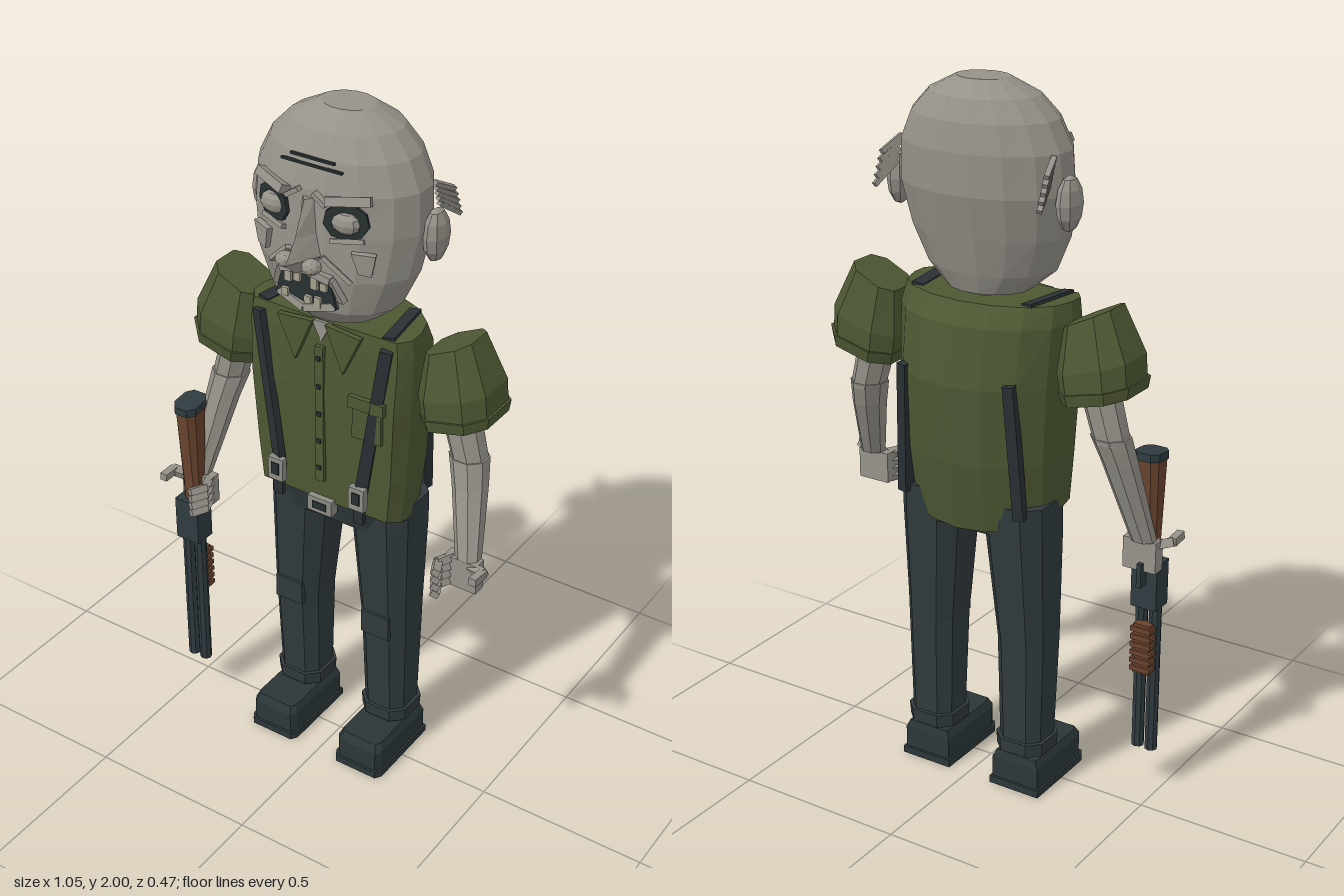
import * as THREE from 'three';

const mat = (name, color, extra = {}) => new THREE.MeshStandardMaterial({ name, color, flatShading: true, ...extra });

export function createModel() {
  const skin = mat('skin', 0x96928a), shirt = mat('shirt green', 0x4d5833), trouser = mat('trouser slate', 0x303a3c);
  const shoe = mat('shoe', 0x2b3638), strap = mat('strap', 0x2a3034), wood = mat('wood', 0x6a432e);
  const metal = mat('metal', 0x8d8c84), gunmetal = mat('gunmetal', 0x2f3b40), dark = mat('dark', 0x283031);
  const teeth = mat('teeth', 0xa59f8c);

  const root = new THREE.Group();
  root.name = 'standingMan';
  const body = new THREE.Group();
  body.name = 'body';
  body.position.x = -0.01;
  root.add(body);

  const add = (name, geo, material, x = 0, y = 0, z = 0, parent = body) => {
    const m = new THREE.Mesh(geo, material);
    m.name = name;
    m.position.set(x, y, z);
    parent.add(m);
    return m;
  };
  const box = (name, w, h, d, material, x, y, z) => add(name, new THREE.BoxGeometry(w, h, d), material, x, y, z);

  // Box running from point a to point b
  const beam = (name, a, b, w, d, material) => {
    const p = new THREE.Vector3(...a), q = new THREE.Vector3(...b);
    const dir = q.clone().sub(p), mid = p.add(q).multiplyScalar(0.5);
    const m = box(name, w, dir.length(), d, material, mid.x, mid.y, mid.z);
    m.quaternion.setFromUnitVectors(new THREE.Vector3(0, 1, 0), dir.normalize());
    return m;
  };

  // Capped loft; rings go bottom up: [y, rx, rz, cx, cz, tiltX, tiltZ]
  const loft = (name, outline, rings, material) => {
    const n = outline.length, pos = [], idx = [];
    for (const [y, rx, rz, cx = 0, cz = 0, tx = 0, tz = 0] of rings)
      for (const [u, v] of outline) pos.push(cx + u * rx, y + tx * u + tz * v, cz + v * rz);
    for (let r = 0; r < rings.length - 1; r++)
      for (let i = 0; i < n; i++) {
        const a = r * n + i, b = r * n + (i + 1) % n;
        idx.push(a, a + n, b, b, a + n, b + n);
      }
    const t = (rings.length - 1) * n;
    for (let i = 1; i < n - 1; i++) idx.push(0, i, i + 1, t, t + i + 1, t + i);
    const g = new THREE.BufferGeometry();
    g.setAttribute('position', new THREE.Float32BufferAttribute(pos, 3));
    g.setIndex(idx);
    const flat = g.toNonIndexed();
    flat.computeVertexNormals();
    return add(name, flat, material);
  };
  const circle = n => Array.from({ length: n }, (_, i) => {
    const a = (i + 0.5) / n * Math.PI * 2;
    return [Math.cos(a), Math.sin(a)];
  });
  const octagon = [[1, 0.55], [0.55, 1], [-0.55, 1], [-1, 0.55], [-1, -0.55], [-0.55, -1], [0.55, -1], [1, -0.55]];

  // Thin plate in the xy plane
  const plate = (name, pts, material, x, y, z, depth = 0.008) => add(name, new THREE.ExtrudeGeometry(
    new THREE.Shape(pts.map(p => new THREE.Vector2(...p))), { depth, bevelEnabled: false }), material, x, y, z);

  // Shirt: flat front, rounded back, hem lower behind
  const torso = [[1, 0.3], [0.9, 0.52], [0, 0.56], [-0.9, 0.52], [-1, 0.3]];
  for (let i = 0; i <= 8; i++) {
    const a = i / 8 * Math.PI;
    torso.push([-Math.cos(a), -Math.sin(a)]);
  }
  loft('shirt', torso, [
    [0.847, 0.225, 0.165, 0, -0.02, 0, 0.047], [1.0, 0.238, 0.19, 0, -0.03], [1.22, 0.25, 0.205, 0, -0.03],
    [1.38, 0.255, 0.18, 0, -0.025], [1.435, 0.248, 0.15, 0, -0.015]], shirt);
  loft('neck', circle(8), [[1.4, 0.075, 0.075, 0, -0.02], [1.5, 0.09, 0.085, 0, -0.02]], skin);
  plate('openNeck', [[-0.03, 0], [0, -0.06], [0.03, 0]], skin, 0, 1.435, 0.07);
  box('placket', 0.026, 0.42, 0.012, shirt, 0, 1.155, 0.083);
  for (let i = 0; i < 5; i++) box('button', 0.012, 0.012, 0.006, dark, 0, 1.33 - i * 0.085, 0.091);
  box('pocket', 0.09, 0.11, 0.014, shirt, 0.148, 1.18, 0.08);
  box('pocketFlap', 0.108, 0.035, 0.022, shirt, 0.148, 1.235, 0.082);

  for (const s of [-1, 1]) {
    plate('collar', s > 0 ? [[0.02, 0], [0.075, -0.13], [0.13, -0.01]] : [[-0.02, 0], [-0.13, -0.01], [-0.075, -0.13]],
      shirt, 0, 1.437, 0.075, 0.016);

    // Suspenders and clips
    beam('frontStrap', [s * 0.2, 1.41, 0.075], [s * 0.132, 0.95, 0.086], 0.034, 0.02, strap);
    beam('shoulderStrap', [s * 0.195, 1.436, 0.06], [s * 0.17, 1.436, -0.11], 0.034, 0.01, strap);
    beam('backStrap', [s * 0.165, 1.24, -0.182], [s * 0.185, 0.86, -0.158], 0.032, 0.03, strap);
    box('clip', 0.048, 0.07, 0.02, metal, s * 0.132, 0.945, 0.1);
    box('clipInset', 0.024, 0.036, 0.006, dark, s * 0.132, 0.948, 0.111);
    box('clipTab', 0.03, 0.06, 0.014, strap, s * 0.132, 0.89, 0.092);

    // Sleeve with cuff
    loft('sleeve', octagon, [[1.235, 0.098, 0.1, s * 0.365, -0.045, s * 0.025], [1.3, 0.1, 0.102, s * 0.357, -0.045, s * 0.03],
      [1.425, 0.066, 0.07, s * 0.333, -0.045, s * 0.032]], shirt);
    loft('sleeveCuff', octagon, [[1.212, 0.096, 0.1, s * 0.37, -0.045, s * 0.025],
      [1.245, 0.104, 0.106, s * 0.366, -0.045, s * 0.025]], shirt);

    // Arm: upper part, then forearm swinging forward
    const wx = s * 0.447, wy = s > 0 ? 0.85 : 0.79;
    loft('upperArm', circle(8), [[1.09, 0.05, 0.05, s * 0.392, -0.042], [1.24, 0.055, 0.055, s * 0.35, -0.045]], skin);
    loft('forearm', circle(8), [[wy, 0.037, 0.032, wx, 0.045], [1.03, 0.05, 0.048, s * 0.405, -0.022],
      [1.105, 0.056, 0.053, s * 0.388, -0.042]], skin);

    // Hand with curled fingers
    const hy = wy - 0.045;
    box('palm', 0.1, 0.09, 0.04, skin, s * 0.44, hy, 0.055);
    for (let i = 0; i < 4; i++) {
      const y = hy - 0.036 + i * 0.024;
      beam('finger', [s * 0.405, y, 0.06], [s * 0.386, y, 0.105], 0.024, 0.021, skin);
      beam('fingerTip', [s * 0.386, y, 0.1], [s * 0.408, y, 0.147], 0.022, 0.02, skin);
    }
    beam('thumb', [s * 0.47, hy + 0.025, 0.065], [s * 0.518, hy + 0.04, 0.085], 0.025, 0.025, skin);
    beam('thumbTip', [s * 0.515, hy + 0.04, 0.08], [s * 0.512, hy + 0.042, 0.135], 0.022, 0.022, skin);

    // Leg
    loft('trouserLeg', octagon, [[0.13, 0.066, 0.066, s * 0.15, -0.06], [0.46, 0.074, 0.078, s * 0.15, -0.055],
      [0.52, 0.077, 0.082, s * 0.147, -0.055], [0.8, 0.092, 0.098, s * 0.135, -0.06],
      [0.88, 0.095, 0.1, s * 0.13, -0.06]], trouser);
    box('kneePatch', 0.09, 0.075, 0.02, trouser, s * 0.148, 0.475, 0.024);
    loft('trouserCuff', octagon, [[0.12, 0.074, 0.074, s * 0.15, -0.06], [0.16, 0.076, 0.077, s * 0.15, -0.06]], trouser);
    loft('ankle', octagon, [[0.09, 0.056, 0.056, s * 0.15, -0.06], [0.14, 0.056, 0.056, s * 0.15, -0.06]], dark);

    // Shoe
    const square = [[1, 0.85], [0.85, 1], [-0.85, 1], [-1, 0.85], [-1, -1], [1, -1]];
    loft('sole', square, [[0, 0.08, 0.131, s * 0.15, 0], [0.022, 0.08, 0.131, s * 0.15, 0]], shoe);
    loft('shoe', square, [[0.02, 0.074, 0.124, s * 0.15, 0], [0.085, 0.074, 0.124, s * 0.15, 0],
      [0.108, 0.064, 0.114, s * 0.15, -0.004]], shoe);

    // Ear
    const ear = add('ear', new THREE.SphereGeometry(1, 8, 6), skin, s * 0.26, 1.705, -0.053);
    ear.scale.set(0.03, 0.074, 0.048);

    // Hair tuft behind the ear
    for (let i = 0; i < 5; i++)
      beam('hairTuft', [s * 0.232, 1.825 - i * 0.016, -0.085 - i * 0.006],
        [s * 0.25, 1.79 - i * 0.02, -0.15 - i * 0.008], 0.014, 0.012, skin);

    // Eye, brow, cheek
    const socket = add('eyeSocket', new THREE.CylinderGeometry(0.06, 0.06, 0.009, 9).rotateX(Math.PI / 2), dark, s * 0.108, 1.768, 0.122);
    socket.scale.y = 0.85;
    socket.rotation.y = s * 0.33;
    const eye = add('eyeball', new THREE.SphereGeometry(1, 10, 6), skin, s * 0.106, 1.766, 0.122);
    eye.scale.set(0.042, 0.03, 0.026);
    beam('brow', [s * 0.06, 1.818, 0.142], [s * 0.165, 1.828, 0.098], 0.024, 0.03, skin);
    beam('frownFold', [s * 0.022, 1.83, 0.137], [s * 0.06, 1.805, 0.137], 0.012, 0.02, skin);
    beam('eyeBag', [s * 0.07, 1.712, 0.135], [s * 0.15, 1.718, 0.105], 0.012, 0.018, skin);
    const cheek = plate('cheekbone', [[-0.03, 0.025], [-0.012, -0.03], [0.022, -0.035], [0.032, 0.022]], skin, s * 0.148, 1.665, 0.103, 0.018);
    cheek.rotation.y = s * 0.4;
    beam('cheekFold', [s * 0.05, 1.665, 0.143], [s * 0.12, 1.6, 0.118], 0.012, 0.02, skin);
    const nostril = add('nostril', new THREE.IcosahedronGeometry(0.026, 1), skin, s * 0.04, 1.648, 0.175);
    nostril.scale.y = 0.8;

    // Lip sides
    beam('upperLip', [0, 1.622, 0.148], [s * 0.075, 1.605, 0.142], 0.02, 0.022, skin);
    beam('lipSide', [s * 0.075, 1.607, 0.142], [s * 0.1, 1.545, 0.124], 0.016, 0.022, skin);
    beam('lowerLip', [0, 1.512, 0.148], [s * 0.085, 1.532, 0.132], 0.02, 0.024, skin);
  }

  // Hips, belt buckle
  loft('hips', octagon, [[0.79, 0.21, 0.098, 0, -0.06], [0.88, 0.222, 0.115, 0, -0.05]], trouser);
  box('beltBuckle', 0.078, 0.048, 0.03, metal, 0, 0.862, 0.075);
  box('beltBuckleInset', 0.045, 0.022, 0.006, dark, 0, 0.862, 0.09);

  // Head
  loft('head', circle(16), [
    [1.445, 0.12, 0.1, 0, -0.02], [1.5, 0.185, 0.135, 0, -0.005], [1.6, 0.23, 0.155, 0, -0.012],
    [1.72, 0.25, 0.168, 0, -0.03], [1.83, 0.244, 0.167, 0, -0.035], [1.905, 0.208, 0.15, 0, -0.04],
    [1.96, 0.155, 0.118, 0, -0.045], [2.0, 0.075, 0.06, 0, -0.05]], skin);
  loft('nose', [[1, 0], [0, 1], [-1, 0]], [[1.625, 0.03, 0.06, 0, 0.13], [1.662, 0.045, 0.1, 0, 0.13],
    [1.72, 0.03, 0.06, 0, 0.128], [1.81, 0.02, 0.022, 0, 0.125]], skin);
  box('foreheadWrinkle', 0.13, 0.006, 0.008, dark, 0, 1.905, 0.109);
  box('foreheadWrinkle', 0.18, 0.006, 0.008, dark, 0, 1.888, 0.113);

  // Mouth and teeth
  plate('mouth', [[-0.092, -0.035], [-0.05, -0.05], [0.05, -0.05], [0.092, -0.035], [0.072, 0.045], [0, 0.055], [-0.072, 0.045]],
    dark, 0, 1.562, 0.135, 0.009);
  for (const [x, y, h] of [[-0.05, 1.588, 0.03], [-0.022, 1.592, 0.024], [0.03, 1.588, 0.034], [0.058, 1.585, 0.022],
    [-0.06, 1.54, 0.022], [0.01, 1.535, 0.024], [0.04, 1.537, 0.028]])
    box('tooth', 0.02, h, 0.012, teeth, x, y, 0.147);

  // Double-barrelled gun held muzzle down
  const gx = -0.448;
  loft('gunStock', octagon, [[0.7, 0.024, 0.022, gx, 0.078], [0.78, 0.028, 0.026, gx, 0.075],
    [1.02, 0.034, 0.042, gx, 0.075, 0, -0.005]], wood);
  loft('buttPlate', octagon, [[1.015, 0.037, 0.046, gx, 0.075, 0, -0.005], [1.038, 0.037, 0.046, gx, 0.075, 0, -0.005]], gunmetal);
  box('receiver', 0.078, 0.135, 0.066, gunmetal, gx, 0.648, 0.085);
  box('triggerGuard', 0.014, 0.07, 0.04, gunmetal, gx, 0.69, 0.04);
  for (const s of [-1, 1]) {
    add('barrel', new THREE.CylinderGeometry(0.018, 0.018, 0.45, 8), gunmetal, gx + s * 0.021, 0.36, 0.086);
    add('bore', new THREE.CylinderGeometry(0.011, 0.011, 0.004, 8), dark, gx + s * 0.021, 0.135, 0.086);
  }
  box('foreEnd', 0.05, 0.15, 0.03, wood, gx, 0.457, 0.062);
  for (let i = 0; i < 6; i++) box('foreEndRib', 0.062, 0.014, 0.036, wood, gx, 0.397 + i * 0.024, 0.058);

  return root;
}
